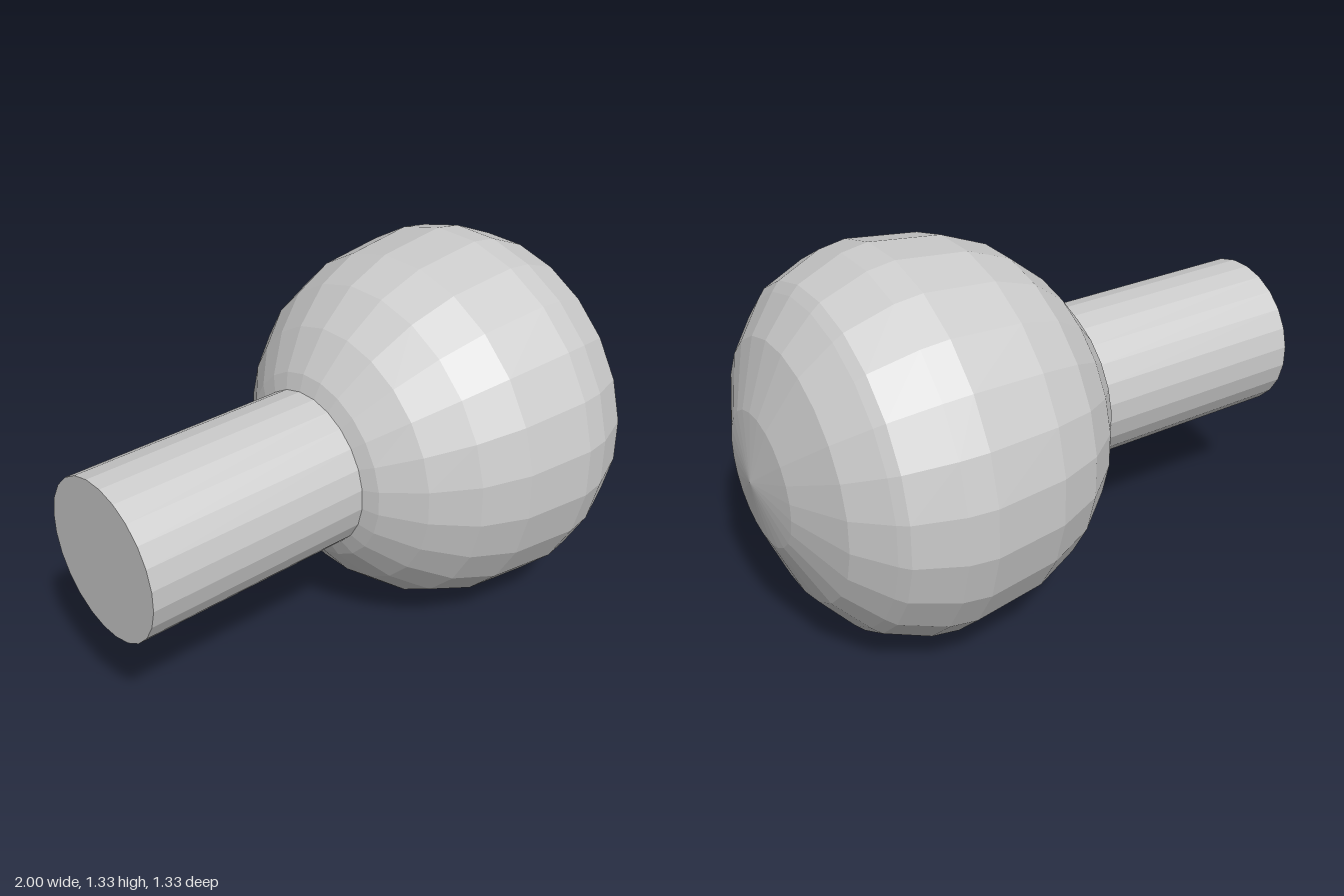
import * as THREE from 'three';

const SIDES = 24;
const AXIS_Y = 0.6625;
const FLAT = Math.cos(Math.PI / SIDES); // flat-to-centre over corner-to-centre distance

// Turns a profile of [x, distance from axis to flat] around the x axis.
function turned(name, profile, material) {
  const points = profile.map(([x, r]) => new THREE.Vector2(r / FLAT, x));
  const geometry = new THREE.LatheGeometry(points, SIDES, Math.PI / SIDES);
  geometry.rotateZ(-Math.PI / 2);
  const mesh = new THREE.Mesh(geometry, material);
  mesh.name = name;
  mesh.position.y = AXIS_Y;
  return mesh;
}

export function createModel() {
  const group = new THREE.Group();
  group.name = 'ballKnob';
  const material = new THREE.MeshStandardMaterial({ color: 0xcccccc, flatShading: true });

  // Straight stem with a flat end
  group.add(turned('stem', [[-1, 0], [-1, 0.275], [-0.18, 0.275]], material));

  // Rounded head, flattening towards a shallow cone at its tip
  group.add(turned('head', [
    [-0.18, 0.275], [-0.157, 0.33], [-0.055, 0.458], [0.08, 0.567],
    [0.243, 0.632], [0.5, 0.6625], [0.595, 0.648], [0.75, 0.582],
    [0.78, 0.553], [0.878, 0.437], [0.965, 0.225], [1, 0],
  ], material));

  return group;
}
